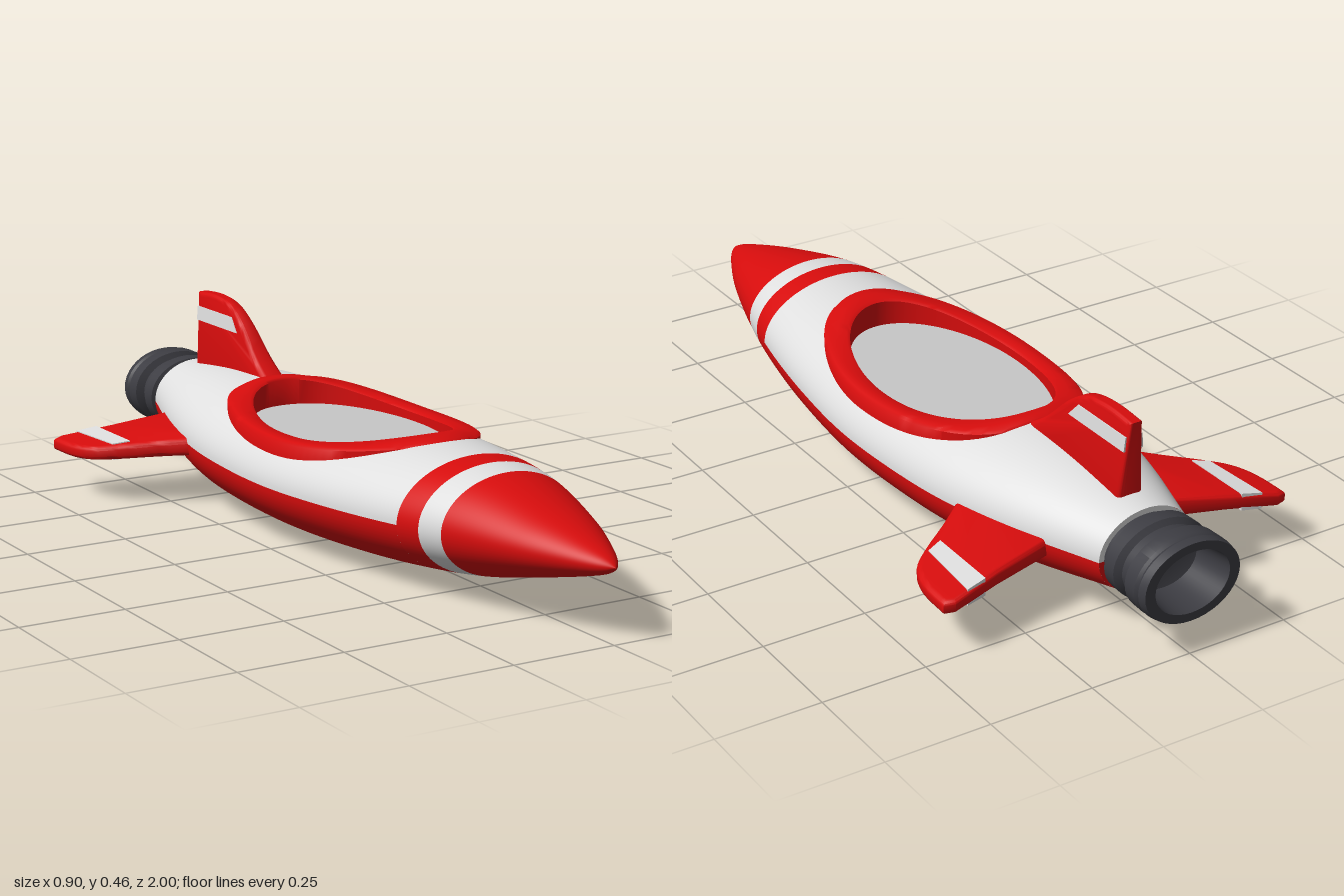
import * as THREE from 'three';
import { toCreasedNormals } from 'three/addons/utils/BufferGeometryUtils.js';

const paint = (name, color) => {
  const m = new THREE.MeshStandardMaterial({ color });
  m.name = name;
  return m;
};

// Hull stations: z, half width, top, bottom
const STATIONS = [
  [-0.83, 0.12, 0.27, 0.075], [-0.6, 0.195, 0.293, 0.032], [-0.4, 0.24, 0.3, 0.009],
  [-0.2, 0.26, 0.3, 0.001], [0, 0.265, 0.3, 0.001], [0.2, 0.248, 0.3, 0.008],
  [0.4, 0.218, 0.297, 0.023], [0.6, 0.174, 0.284, 0.05], [0.8, 0.11, 0.238, 0.098],
  [0.92, 0.056, 0.203, 0.13], [0.98, 0.021, 0.181, 0.15], [1, 0, 0.166, 0.166],
];

// Smooth interpolation of station column k at z
function station(z, k) {
  const S = STATIONS, n = S.length;
  let i = 0;
  while (i < n - 2 && z > S[i + 1][0]) i++;
  const slope = (j) => {
    const a = S[Math.max(j - 1, 0)], b = S[Math.min(j + 1, n - 1)];
    return (b[k] - a[k]) / (b[0] - a[0]);
  };
  const d = S[i + 1][0] - S[i][0], t = (z - S[i][0]) / d, t2 = t * t, t3 = t2 * t;
  return (2 * t3 - 3 * t2 + 1) * S[i][k] + (t3 - 2 * t2 + t) * d * slope(i)
    + (3 * t2 - 2 * t3) * S[i + 1][k] + (t3 - t2) * d * slope(i + 1);
}

// Height of the upper hull skin at (x, z)
function skinY(x, z) {
  const w = station(z, 1), top = station(z, 2), c = (top + station(z, 3)) / 2;
  return c + (top - c) * Math.sqrt(Math.max(0, 1 - (x / w) ** 2));
}

// Surface from a grid of points, rows i and columns j
function grid(rows, cols, point) {
  const pos = [], idx = [];
  for (let i = 0; i <= rows; i++) {
    for (let j = 0; j <= cols; j++) {
      pos.push(...point(i / rows, j / cols));
      if (i < rows && j < cols) {
        const a = i * (cols + 1) + j, b = a + cols + 1;
        idx.push(a, a + 1, b, a + 1, b + 1, b);
      }
    }
  }
  const g = new THREE.BufferGeometry();
  g.setAttribute('position', new THREE.Float32BufferAttribute(pos, 3));
  g.setIndex(idx);
  g.computeVertexNormals();
  return g;
}

// Egg-shaped outline of the cockpit opening, squarer at the rear
function egg(t, rx, rz, cz, rearPower) {
  const c = Math.cos(t), s = Math.sin(t);
  const x = Math.sign(c) * Math.abs(c) ** (s < 0 ? rearPower : 1);
  return [rx * x, cz + rz * s];
}

// Section of hull between two z values and two angles, sunk under the cockpit
function hullPart(z0, z1, a0, a1) {
  const rows = Math.ceil((z1 - z0) / 0.015), cols = Math.ceil((a1 - a0) * 16);
  return grid(rows, cols, (u, v) => {
    const z = z0 + (z1 - z0) * u, a = a0 + (a1 - a0) * v;
    const top = station(z, 2), bottom = station(z, 3);
    const x = station(z, 1) * Math.cos(a);
    let y = (top + bottom) / 2 + (top - bottom) / 2 * Math.sin(a);
    if ((x / 0.205) ** 2 + ((z + 0.042) / 0.36) ** 2 < 1) y = Math.min(y, 0.225);
    return [x, y, z];
  });
}

// Flat plate with softened edges, centred on its thickness
function plate(points, thick, bevel) {
  const g = new THREE.ExtrudeGeometry(new THREE.Shape(points), {
    depth: thick - 2 * bevel, bevelEnabled: bevel > 0, bevelThickness: bevel,
    bevelSize: bevel, bevelOffset: -bevel, bevelSegments: 3,
  });
  return g.translate(0, 0, bevel - thick / 2);
}

function warp(g, rule) {
  const p = g.attributes.position;
  const v = new THREE.Vector3();
  for (let i = 0; i < p.count; i++) {
    rule(v.fromBufferAttribute(p, i));
    p.setXYZ(i, v.x, v.y, v.z);
  }
  return toCreasedNormals(g, 0.7);
}

const vec = (list) => list.map(([x, y]) => new THREE.Vector2(x, y));
const smooth = (list) => new THREE.SplineCurve(vec(list)).getPoints(20);

export function createModel() {
  const model = new THREE.Group();
  model.name = 'rocketShip';
  const red = paint('red', 0xd60c0c);
  const white = paint('white', 0xdedede);
  const glass = paint('cockpitGrey', 0xc8c8c8);
  const dark = paint('darkGrey', 0x3c3c42);
  const add = (name, geometry, material) => {
    const m = new THREE.Mesh(geometry, material);
    m.name = name;
    model.add(m);
    return m;
  };

  // Hull, nose and stripes
  const PI = Math.PI;
  add('upperHull', hullPart(-0.83, 0.475, 0, PI), white);
  add('lowerHull', hullPart(-0.83, 0.475, PI, 2 * PI), red);
  add('redBand', hullPart(0.475, 0.54, 0, 2 * PI), red);
  add('whiteBand', hullPart(0.54, 0.605, 0, 2 * PI), white);
  add('noseCone', hullPart(0.605, 1, 0, 2 * PI), red);

  // Rear bulkhead in two halves
  [[white, 0], [red, PI]].forEach(([material, start]) => {
    const g = new THREE.CircleGeometry(1, 32, start, PI);
    g.scale(0.12, 0.0975, 1).rotateY(PI);
    add('rearBulkhead', g, material).position.set(0, 0.1725, -0.83);
  });

  // Raised saddle-shaped cockpit rim
  const rim = grid(96, 6, (u, v) => {
    const t = u * 2 * PI;
    const [ox, oz] = egg(t, 0.235, 0.395, -0.035, 0.65);
    const [ix, iz] = egg(t, 0.185, 0.33, -0.05, 0.9);
    const k = [0, 0, 0.12, 0.5, 0.88, 1, 1][Math.round(v * 6)];
    const x = ox + (ix - ox) * k, z = oz + (iz - oz) * k;
    const saddle = 0.26 + 0.037 * ((z + 0.04) / 0.39) ** 2;
    const crest = Math.max(saddle, skinY(x, z) + 0.004);
    if (v === 0) return [x, skinY(x, z) - 0.01, z];
    if (v === 1) return [x, 0.222, z];
    return [x, crest - (k === 0 || k === 1 ? 0.006 : 0), z];
  });
  add('cockpitRim', toCreasedNormals(rim, 0.9), red);

  // Flat cockpit floor
  const floor = [];
  for (let i = 0; i < 64; i++) {
    const [x, z] = egg(i / 64 * 2 * PI, 0.187, 0.332, -0.05, 0.9);
    floor.push(new THREE.Vector2(x, -z));
  }
  const floorGeo = new THREE.ShapeGeometry(new THREE.Shape(floor)).rotateX(-PI / 2);
  add('cockpitFloor', floorGeo, glass).position.y = 0.236;

  // Hollow engine nozzle: radius, distance behind the centre
  const nozzle = new THREE.LatheGeometry(vec([
    [0.082, 0.8], [0.082, 0.845], [0.093, 0.85], [0.094, 0.885], [0.082, 0.895], [0.081, 0.922],
    [0.096, 0.93], [0.097, 0.965], [0.093, 0.972], [0.097, 0.98], [0.094, 1], [0.074, 1],
    [0.064, 0.9], [0, 0.88],
  ]), 40);
  nozzle.rotateX(-PI / 2).scale(1.3, 1, 1);
  const nozzleMesh = add('engineNozzle', toCreasedNormals(nozzle, 0.6), dark);
  nozzleMesh.position.y = 0.175;

  // Side fins with stripes, drooping toward the tips
  const finOutline = [[0.1, 0.685], [0.1, 0.35],
    ...smooth([[0.2, 0.415], [0.29, 0.485], [0.37, 0.54], [0.42, 0.585], [0.445, 0.65], [0.45, 0.74]]),
    [0.425, 0.75], [0.3, 0.72]];
  const finStripe = [[0.338, 0.728], [0.336, 0.545], [0.375, 0.56], [0.388, 0.737]];
  for (const side of [1, -1]) {
    const make = (outline, thick, bevel) => warp(
      plate(vec(outline.map((p) => (p.isVector2 ? [p.x * side, p.y] : [p[0] * side, p[1]]))), thick, bevel)
        .rotateX(-PI / 2),
      (v) => {
        const s = Math.abs(v.x) - 0.26;
        v.y = 0.142 - 0.12 * s + v.y * (1 - 1.3 * s);
      });
    const label = side > 0 ? 'left' : 'right';
    add(label + 'Fin', make(finOutline, 0.042, 0.012), red);
    add(label + 'FinStripe', make(finStripe, 0.048, 0), white);
  }

  // Tail fin with stripe, thinner toward the top
  const tailOutline = [[0.77, 0.25], [0.42, 0.25],
    ...smooth([[0.42, 0.298], [0.48, 0.34], [0.555, 0.41], [0.62, 0.448], [0.7, 0.46], [0.785, 0.455]]),
  ].reverse();
  const tailStripe = [[0.775, 0.385], [0.776, 0.42], [0.6, 0.42], [0.568, 0.385]];
  const tail = (outline, thick, bevel) => warp(
    plate(outline.map((p) => (p.isVector2 ? p : new THREE.Vector2(...p))), thick, bevel).rotateY(PI / 2),
    (v) => { v.x *= 1 - 2.9 * (v.y - 0.3); });
  add('tailFin', tail(tailOutline, 0.06, 0.012), red);
  add('tailFinStripe', tail(tailStripe, 0.067, 0), white);

  return model;
}
